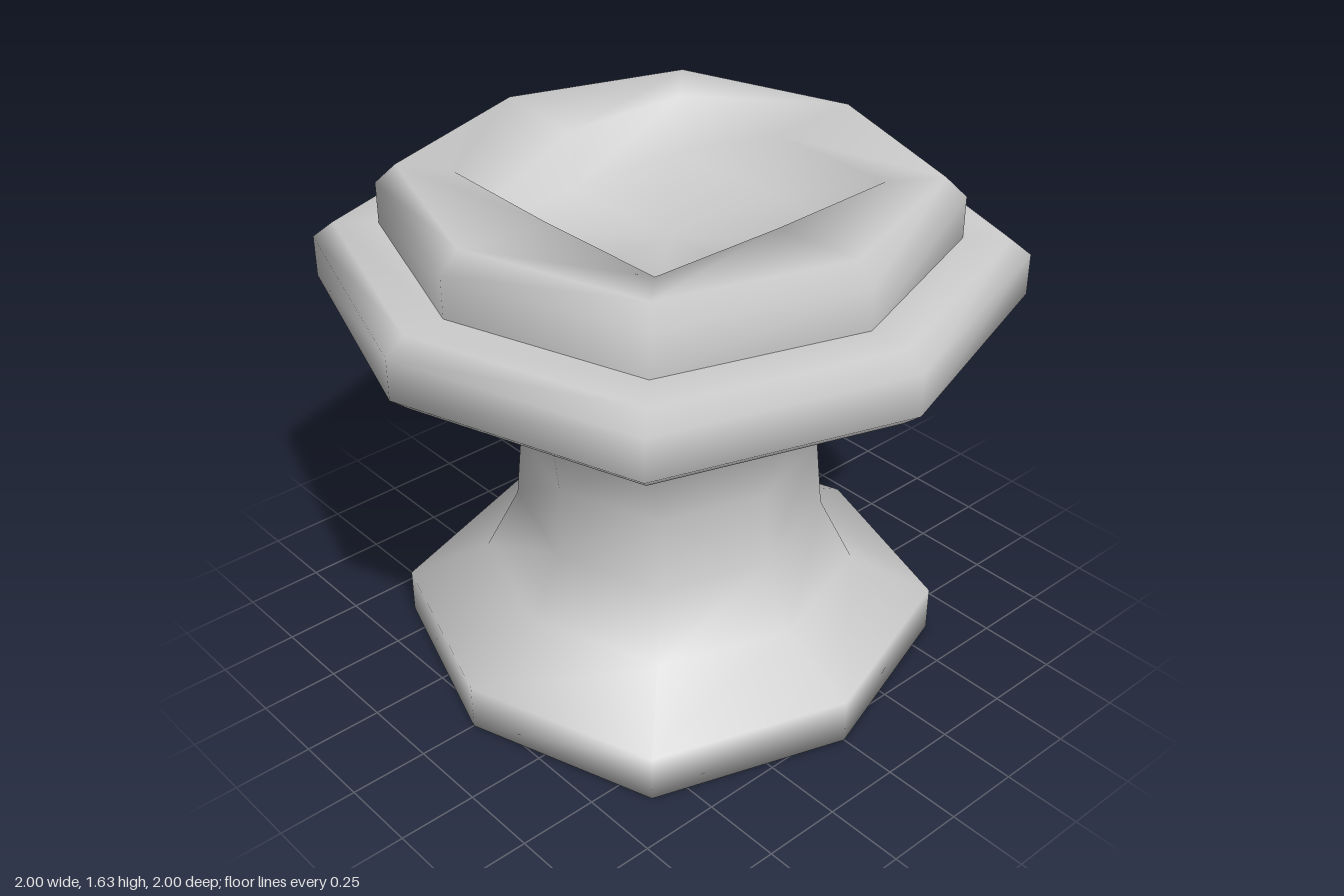
import * as THREE from 'three';

const stone = new THREE.MeshStandardMaterial({ color: 0xcccccc });
stone.name = 'pale grey stone';

// Smooth eight-sided skin through rings [axisRadius, y, diagonalOffset], listed
// from bottom to top on the outside. The diagonal offset defaults to 0.75 of the radius.
function octagonSkin(name, rings) {
  const position = [];
  const index = [];
  for (const [radius, y, diagonal = radius * 0.75] of rings) {
    for (let i = 0; i < 8; i++) {
      const angle = (i * Math.PI) / 4;
      const r = i % 2 ? diagonal * Math.SQRT2 : radius;
      position.push(r * Math.sin(angle), y, r * Math.cos(angle));
    }
  }
  for (let k = 0; k < rings.length - 1; k++) {
    for (let i = 0; i < 8; i++) {
      const a = k * 8 + i;
      const b = k * 8 + ((i + 1) % 8);
      if (rings[k][0] > 0) index.push(a, b, b + 8);
      if (rings[k + 1][0] > 0) index.push(a, b + 8, a + 8);
    }
  }
  const geometry = new THREE.BufferGeometry();
  geometry.setAttribute('position', new THREE.Float32BufferAttribute(position, 3));
  geometry.setIndex(index);
  geometry.computeVertexNormals();
  const mesh = new THREE.Mesh(geometry, stone);
  mesh.name = name;
  return mesh;
}

export function createModel() {
  const model = new THREE.Group();
  model.name = 'pedestal';

  // Foot with a waisted column flaring out under the moulding
  model.add(octagonSkin('footAndColumn', [
    [0, 0], [0.81, 0], [0.81, 0.15], [0.56, 0.28], [0.46, 0.49],
    [0.44, 0.72], [0.47, 0.97], [0.65, 1.14], [0.79, 1.21],
  ]));

  // Wide bevelled moulding
  model.add(octagonSkin('moulding', [
    [0.79, 1.21], [0.94, 1.21], [1, 1.26], [1, 1.39], [0.94, 1.44], [0.81, 1.44],
  ]));

  // Upper rim with a square recess
  model.add(octagonSkin('rimAndRecess', [
    [0.81, 1.44], [0.81, 1.57], [0.75, 1.63], [0.45, 1.61, 0.44],
    [0.44, 1.42, 0.435], [0, 1.42],
  ]));

  return model;
}
